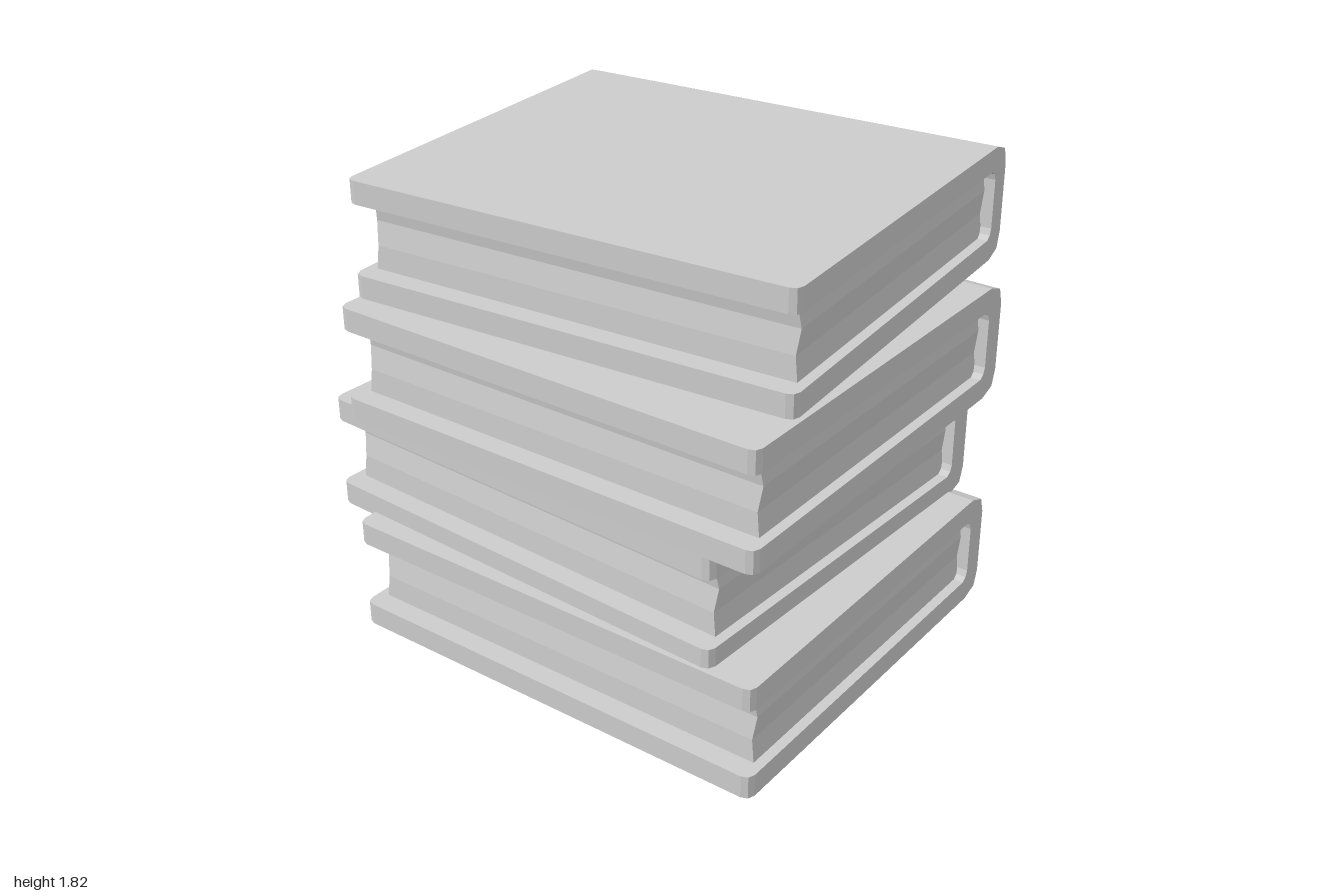
import * as THREE from 'three';

const W = 0.815, D = 0.91, H = 0.455, T = 0.09; // half width, half depth, height, board thickness
const JOIN = 0.68; // where the boards meet the spine
const material = new THREE.MeshStandardMaterial({ color: 0xcccccc, flatShading: true });

const outline = (points) => new THREE.Shape(points.map(([x, y]) => new THREE.Vector2(x, y)));

// Flat cover board with clipped corners on the fore-edge side
function boardGeometry() {
  const shape = outline([
    [JOIN, -D], [JOIN, D], [-W + 0.035, D], [-W + 0.01, D - 0.01], [-W, D - 0.035],
    [-W, -D + 0.035], [-W + 0.01, -D + 0.01], [-W + 0.035, -D],
  ]);
  return new THREE.ExtrudeGeometry(shape, { depth: T, bevelEnabled: false }).rotateX(-Math.PI / 2);
}

// Bracket-shaped spine with faceted corners, running the full depth
function spineGeometry() {
  const lower = [[JOIN, 0], [0.725, 0], [0.795, 0.025], [W, T]];
  const inner = [[0.725, 0.13], [0.716, 0.105], [0.695, T], [JOIN, T]];
  const flip = (list) => list.map(([x, y]) => [x, H - y]).reverse();
  const shape = outline([...lower, ...flip(lower), ...flip(inner), ...inner]);
  return new THREE.ExtrudeGeometry(shape, { depth: 2 * D, bevelEnabled: false }).translate(0, 0, -D);
}

// Page block: three bands whose edges waver slightly
function pagesGeometry() {
  const left = -0.73, right = 0.74, halfDepth = D - 0.04;
  const foreInset = [0, 0.003, 0.018, 0.003];
  const sideInset = [0, 0.01, 0, 0.01];
  const g = new THREE.BoxGeometry(right - left, H - 2 * T, 2 * halfDepth, 1, 3, 1);
  g.translate((left + right) / 2, H / 2, 0);
  const p = g.attributes.position;
  for (let i = 0; i < p.count; i++) {
    const level = Math.round(((p.getY(i) - T) / (H - 2 * T)) * 3);
    if (p.getX(i) < 0) p.setX(i, left + foreInset[level]);
    p.setZ(i, Math.sign(p.getZ(i)) * (halfDepth - sideInset[level]));
  }
  g.computeVertexNormals();
  return g;
}

export function createModel() {
  const model = new THREE.Group();
  model.name = 'bookStack';
  const board = boardGeometry(), spine = spineGeometry(), pages = pagesGeometry();

  // Position and turn of each book, from the bottom up
  const books = [
    [-0.115, 0, 0.09, 0],
    [-0.06, 0.44, -0.053, -0.046],
    [-0.115, 0.905, 0.09, 0],
    [0.05, 1.36, 0.013, 0.077],
  ];
  books.forEach(([x, y, z, turn], i) => {
    const book = new THREE.Group();
    book.name = `book${i + 1}`;
    const add = (name, geometry, lift = 0) => {
      const mesh = new THREE.Mesh(geometry, material);
      mesh.name = name;
      mesh.position.y = lift;
      book.add(mesh);
    };
    add('bottomCover', board);
    add('topCover', board, H - T);
    add('spine', spine);
    add('pages', pages);
    book.position.set(x, y, z);
    book.rotation.y = turn;
    model.add(book);
  });
  return model;
}
